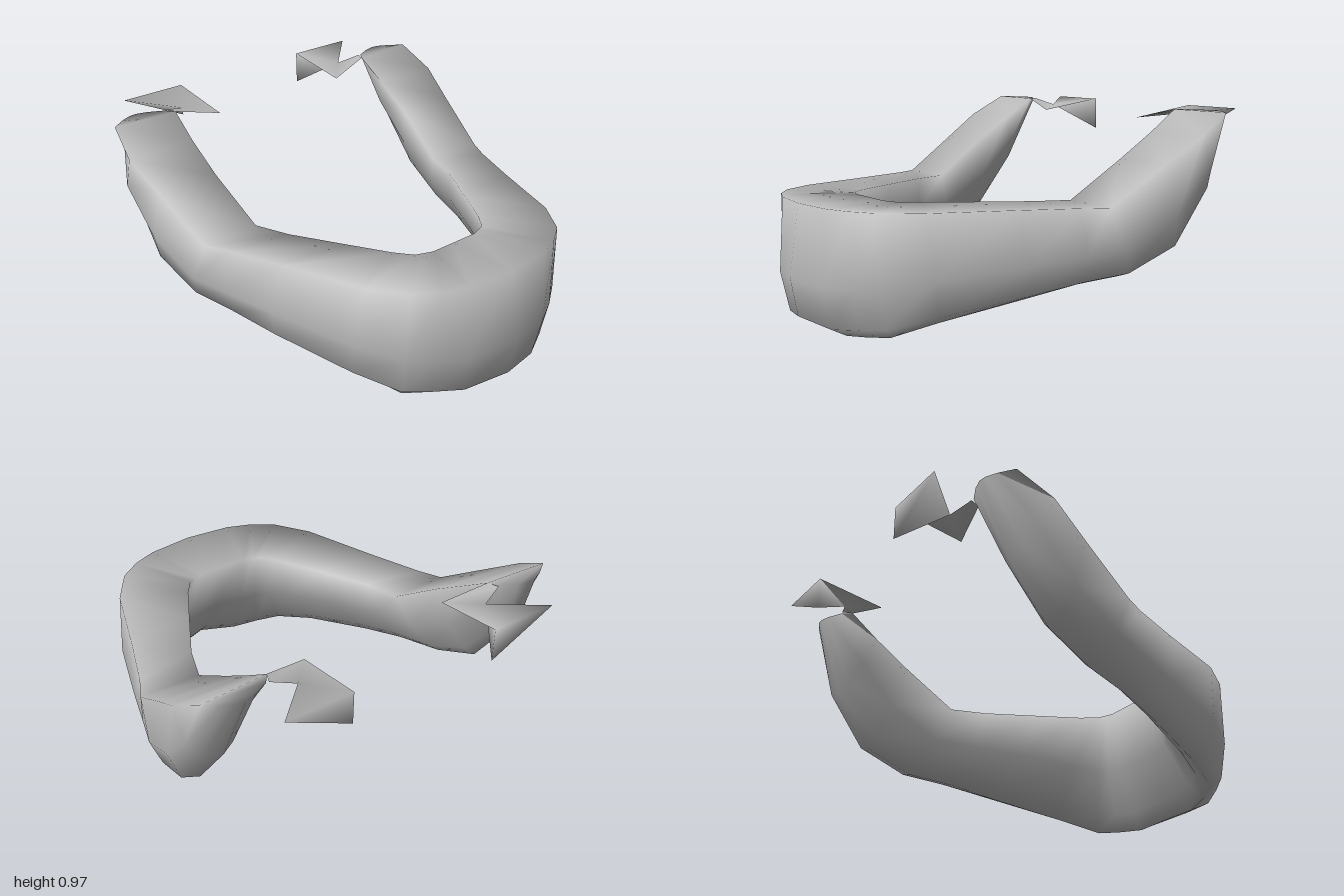
import * as THREE from 'three';

// Half of the band, from the chin centre to the raised rear end.
// Each station: rim height, outer rim [x, z], inner rim [x, z], underside [x, y, z],
// and how far the outer wall bulges, as a share of the rim width.
const STATIONS = [
  { top: .58, outer: [0, .955], inner: [0, .6], under: [0, .025, .865], bulge: .28 },
  { top: .58, outer: [.23, .93], inner: [.13, .6], under: [.19, 0, .82], bulge: .26 },
  { top: .58, outer: [.35, .885], inner: [.17, .585], under: [.32, .015, .78], bulge: .18 },
  { top: .58, outer: [.46, .81], inner: [.21, .57], under: [.43, .03, .73], bulge: .14 },
  { top: .58, outer: [.575, .64], inner: [.27, .49], under: [.52, .09, .54], bulge: .2 },
  { top: .58, outer: [.71, .26], inner: [.38, .29], under: [.64, .17, .2], bulge: .23 },
  { top: .58, outer: [.81, 0], inner: [.51, .05], under: [.7, .22, -.02], bulge: .27 },
  { top: .58, outer: [.865, -.11], inner: [.57, -.12], under: [.76, .25, -.25], bulge: .27 },
  { top: .755, outer: [.91, -.38], inner: [.6, -.38], under: [.79, .35, -.48], bulge: .27 },
  { top: .87, outer: [.945, -.56], inner: [.6, -.56], under: [.78, .61, -.67], bulge: .25 },
  { top: .97, outer: [.91, -.73], inner: [.59, -.71], under: [.75, .97, -.81], bulge: .08 },
];

// Cross-section: flat top, bulging outer wall, underside, sloping inner wall
function section({ top, outer, inner, under, bulge }) {
  const rimOut = new THREE.Vector3(outer[0], top, outer[1]);
  const rimIn = new THREE.Vector3(inner[0], top, inner[1]);
  const bottom = new THREE.Vector3(...under);
  const across = rimOut.clone().sub(rimIn);
  const between = (from, t, push) => from.clone().lerp(bottom, t).addScaledVector(across, push);
  return [
    rimOut, between(rimOut, .6, bulge), between(rimOut, .92, bulge * .95),
    bottom, between(rimIn, .87, -.1), between(rimIn, .5, -.15), rimIn,
  ];
}

function smoothGeometry(points, index) {
  const g = new THREE.BufferGeometry().setFromPoints(points);
  g.setIndex(index);
  g.computeVertexNormals();
  return g;
}

// Closed loft through the mirrored sections, with a cap at each rear end
function bandGeometry() {
  const half = STATIONS.map(section);
  const mirrored = half.slice(1).reverse()
    .map(ring => ring.map(p => new THREE.Vector3(-p.x, p.y, p.z)));
  const rings = [...mirrored, ...half];
  const n = half[0].length;
  const index = [];
  for (let i = 0; i < rings.length - 1; i++) {
    for (let j = 0; j < n; j++) {
      const a = i * n + j, b = i * n + (j + 1) % n;
      index.push(a, b, a + n, b, b + n, a + n);
    }
  }
  const last = (rings.length - 1) * n;
  for (let k = 1; k < n - 1; k++) {
    index.push(last, last + k, last + k + 1);
    index.push(0, k + 1, k);
  }
  return smoothGeometry(rings.flat(), index);
}

// Thin folded tab that turns inward from the rear end
function tabGeometry(side) {
  const points = [
    [.59, .97, -.71], [.61, .97, -.76], [.37, .92, -.66], [.5, .94, -.8],
    [.37, .97, -1], [.7, .97, -1], [.37, .81, -1],
  ].map(([x, y, z]) => new THREE.Vector3(x * side, y, z));
  const faces = [
    [0, 1, 2], [1, 3, 2], [2, 3, 4], [3, 5, 4],
    [4, 5, 6], [3, 6, 5], [3, 4, 6],
  ];
  return smoothGeometry(points, faces.flatMap(([a, b, c]) => side > 0 ? [a, b, c] : [a, c, b]));
}

export function createModel() {
  const model = new THREE.Group();
  model.name = 'jawBand';
  const grey = new THREE.MeshStandardMaterial({ color: 0xb8b8b8, side: THREE.DoubleSide });
  grey.name = 'grey';

  const band = new THREE.Mesh(bandGeometry(), grey);
  band.name = 'band';
  model.add(band);

  for (const side of [1, -1]) {
    const tab = new THREE.Mesh(tabGeometry(side), grey);
    tab.name = side > 0 ? 'leftTab' : 'rightTab';
    model.add(tab);
  }
  return model;
}
